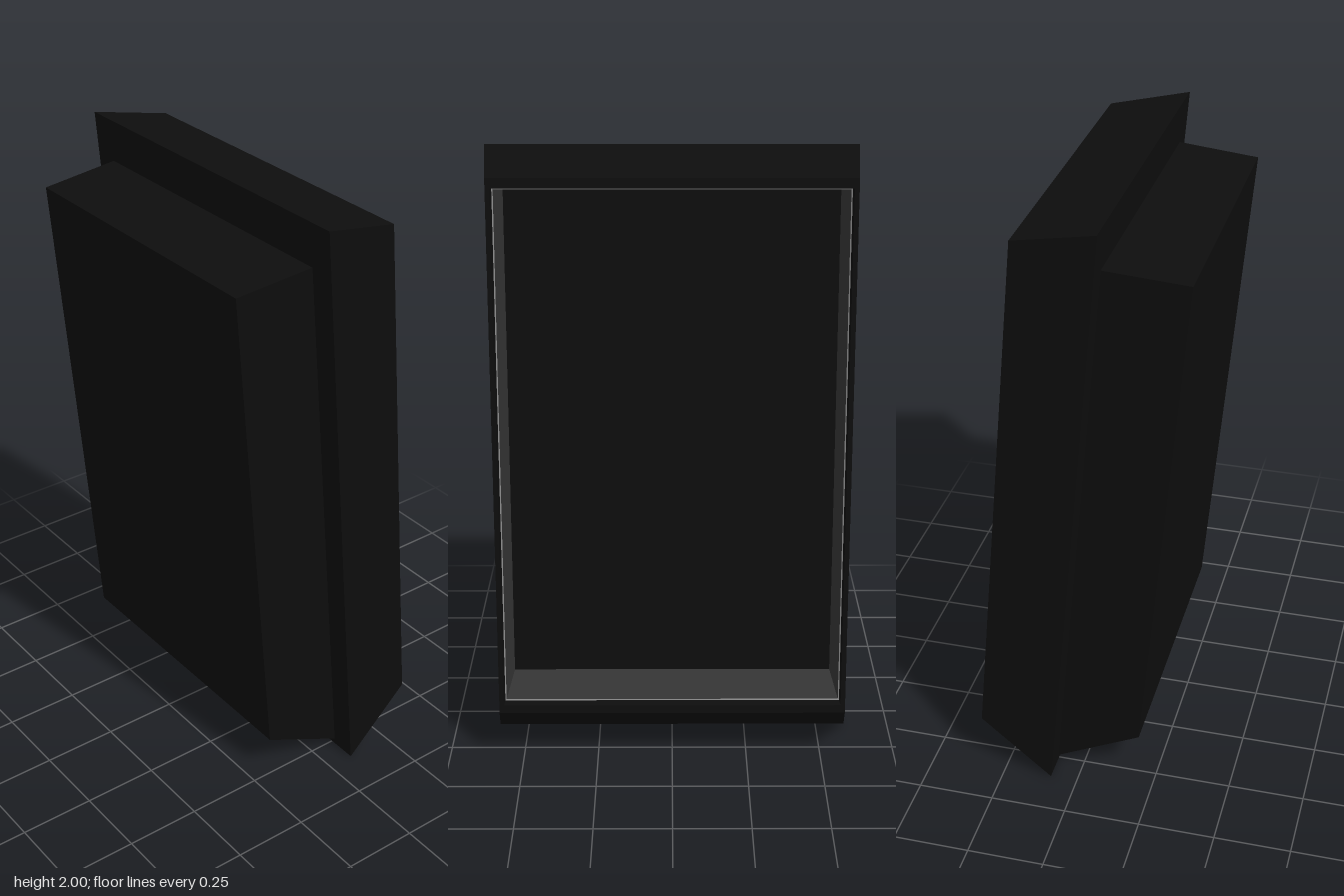
import * as THREE from 'three';

// Rectangular cross-section: half width, then height and depth of its top and bottom edges
const ring = (hx, yTop, zTop, yBot, zBot) => [
  [-hx, yBot, zBot], [hx, yBot, zBot], [hx, yTop, zTop], [-hx, yTop, zTop],
];

// Skin through rings ordered along the surface, with optional end caps
function loft(rings, { frontCap = false, backCap = false } = {}) {
  const pos = [];
  const quad = (a, b, c, d) => pos.push(...a, ...b, ...c, ...a, ...c, ...d);
  if (frontCap) quad(...rings[0]);
  for (let r = 0; r + 1 < rings.length; r++) {
    const a = rings[r], b = rings[r + 1];
    for (let i = 0; i < 4; i++) {
      const j = (i + 1) % 4;
      quad(a[i], b[i], b[j], a[j]);
    }
  }
  if (backCap) quad(...[...rings[rings.length - 1]].reverse());
  const geo = new THREE.BufferGeometry();
  geo.setAttribute('position', new THREE.Float32BufferAttribute(pos, 3));
  geo.computeVertexNormals();
  return geo;
}

export function createModel() {
  const group = new THREE.Group();
  const add = (name, color, rings, caps) => {
    const mesh = new THREE.Mesh(loft(rings, caps), new THREE.MeshStandardMaterial({ color }));
    mesh.name = name;
    group.add(mesh);
  };
  const black = 0x0d0d0d;

  // Sections from the front of the casing, round the rear lip and into the recess
  const front = ring(0.6, 2.0, 0.085, 0, -0.09);
  const back = ring(0.575, 1.945, -0.18, 0.18, -0.335);
  const lip = ring(0.56, 1.913, -0.183, 0.207, -0.333);
  const opening = ring(0.557, 1.908, -0.155, 0.212, -0.306);
  const trim = ring(0.553, 1.904, -0.153, 0.216, -0.304);
  const floor = ring(0.535, 1.89, -0.02, 0.255, -0.167);

  add('casing', black, [front, back, lip, opening], { frontCap: true });
  add('trimLine', 0x888888, [opening, trim]);
  add('bezel', 0x333333, [trim, floor]);
  add('screen', black, [floor], { backCap: true });

  // Narrower housing on the front, with a sloped underside
  add('frontHousing', black, [
    ring(0.505, 1.83, 0.34, 0.15, 0.19),
    ring(0.515, 1.855, 0.065, 0.02, -0.092),
  ], { frontCap: true, backCap: true });

  return group;
}
